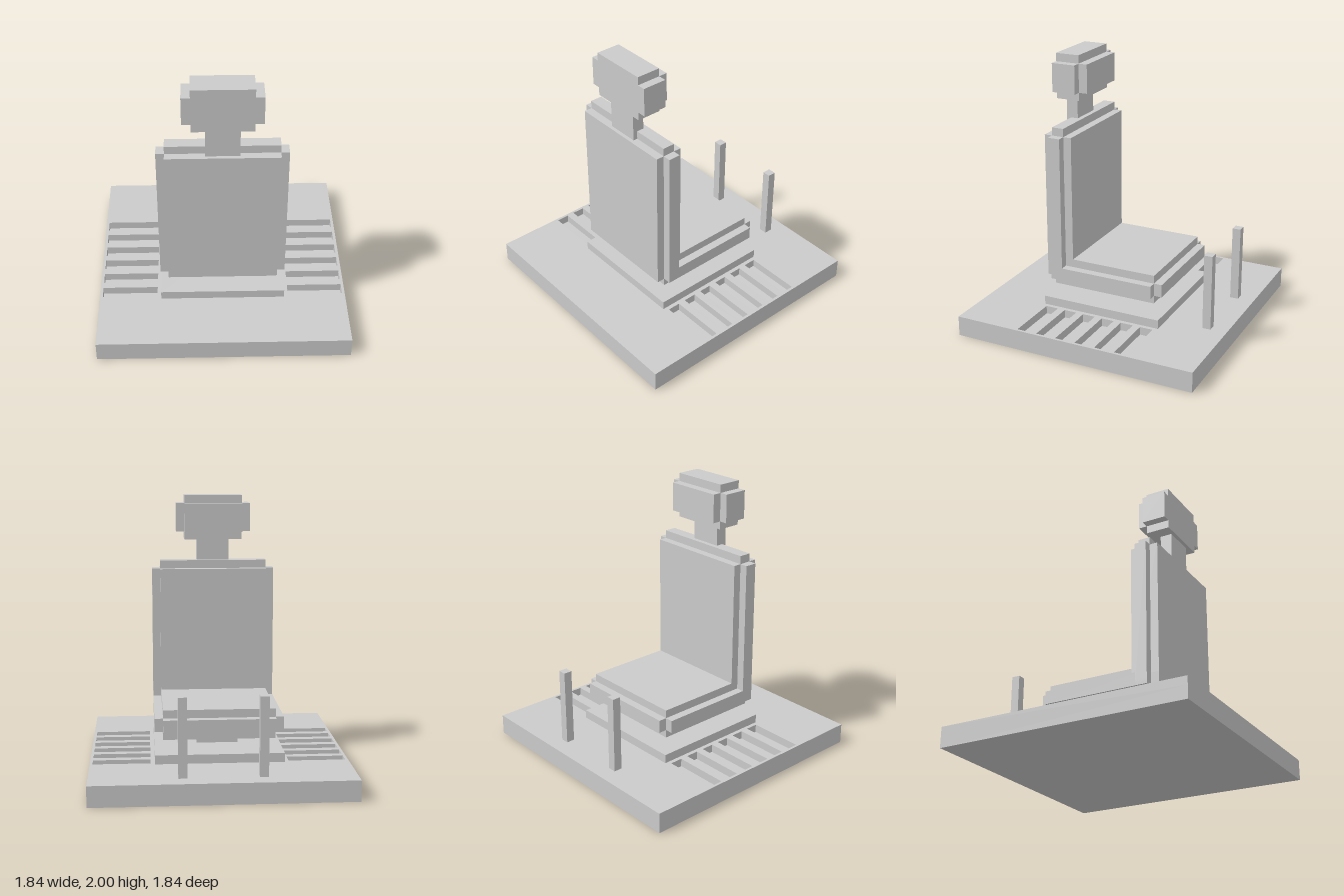
import * as THREE from 'three';

const material = new THREE.MeshStandardMaterial({ color: 0xcccccc, flatShading: true });

// Box given by its lower and upper limits on each axis
function block(parent, name, [x0, x1], [y0, y1], [z0, z1]) {
  const mesh = new THREE.Mesh(new THREE.BoxGeometry(x1 - x0, y1 - y0, z1 - z0), material);
  mesh.position.set((x0 + x1) / 2, (y0 + y1) / 2, (z0 + z1) / 2);
  mesh.name = name;
  parent.add(mesh);
  return mesh;
}

function part(parent, name) {
  const group = new THREE.Group();
  group.name = name;
  parent.add(group);
  return group;
}

// Cushion slab with stepped edges: one core box widened along each axis in turn
function steppedSlab(parent, name, x, y, z, step) {
  const group = part(parent, name);
  const grow = ([a, b]) => [a - step, b + step];
  block(group, name + 'Sides', grow(x), y, z);
  block(group, name + 'Ends', x, grow(y), z);
  block(group, name + 'Faces', x, y, grow(z));
}

// Floor plate whose upper layer is cut by two rows of slots
function addBase(parent) {
  const base = part(parent, 'base');
  const half = 0.92, top = 0.15, depth = 0.06;
  block(base, 'baseSlab', [-half, half], [0, top - depth], [-half, half]);

  const rect = (path, x0, x1, y0, y1) =>
    path.moveTo(x0, y0).lineTo(x1, y0).lineTo(x1, y1).lineTo(x0, y1).closePath();
  const shape = new THREE.Shape();
  rect(shape, -half, half, -half, half);
  for (const [x0, x1] of [[-0.9, -0.49], [0.49, 0.9]]) {
    for (let i = 0; i < 6; i++) {
      const z = -0.383 + i * 0.1532;
      const hole = new THREE.Path();
      rect(hole, x0, x1, z - 0.048, z + 0.048);
      shape.holes.push(hole);
    }
  }
  const geometry = new THREE.ExtrudeGeometry(shape, { depth, bevelEnabled: false });
  geometry.rotateX(-Math.PI / 2);
  const slotted = new THREE.Mesh(geometry, material);
  slotted.position.y = top - depth;
  slotted.name = 'slottedTop';
  base.add(slotted);
}

export function createModel() {
  const model = new THREE.Group();
  model.name = 'chairOnPlatform';

  addBase(model);
  block(model, 'plinth', [-0.46, 0.46], [0.15, 0.215], [-0.46, 0.46]);
  block(model, 'pedestal', [-0.15, 0.15], [0.215, 0.31], [-0.15, 0.15]);

  // Seat and back
  steppedSlab(model, 'seat', [-0.4, 0.4], [0.37, 0.465], [-0.4, 0.4], 0.06);
  steppedSlab(model, 'back', [-0.4, 0.4], [0.37, 1.45], [0.31, 0.4], 0.06);

  // Headrest: block with side and front pads
  block(model, 'neck', [-0.12, 0.12], [1.45, 1.67], [0.345, 0.433]);
  const head = part(model, 'headrest');
  block(head, 'headCore', [-0.215, 0.215], [1.67, 2], [0.28, 0.46]);
  block(head, 'headSides', [-0.277, 0.277], [1.73, 1.94], [0.28, 0.46]);
  block(head, 'headPad', [-0.215, 0.215], [1.73, 1.94], [0.215, 0.28]);

  // Pair of upright posts
  for (const side of [-1, 1]) {
    const x = side * 0.277;
    block(model, side > 0 ? 'leftPost' : 'rightPost', [x - 0.031, x + 0.031], [0.15, 0.71], [-0.8, -0.738]);
  }
  return model;
}
